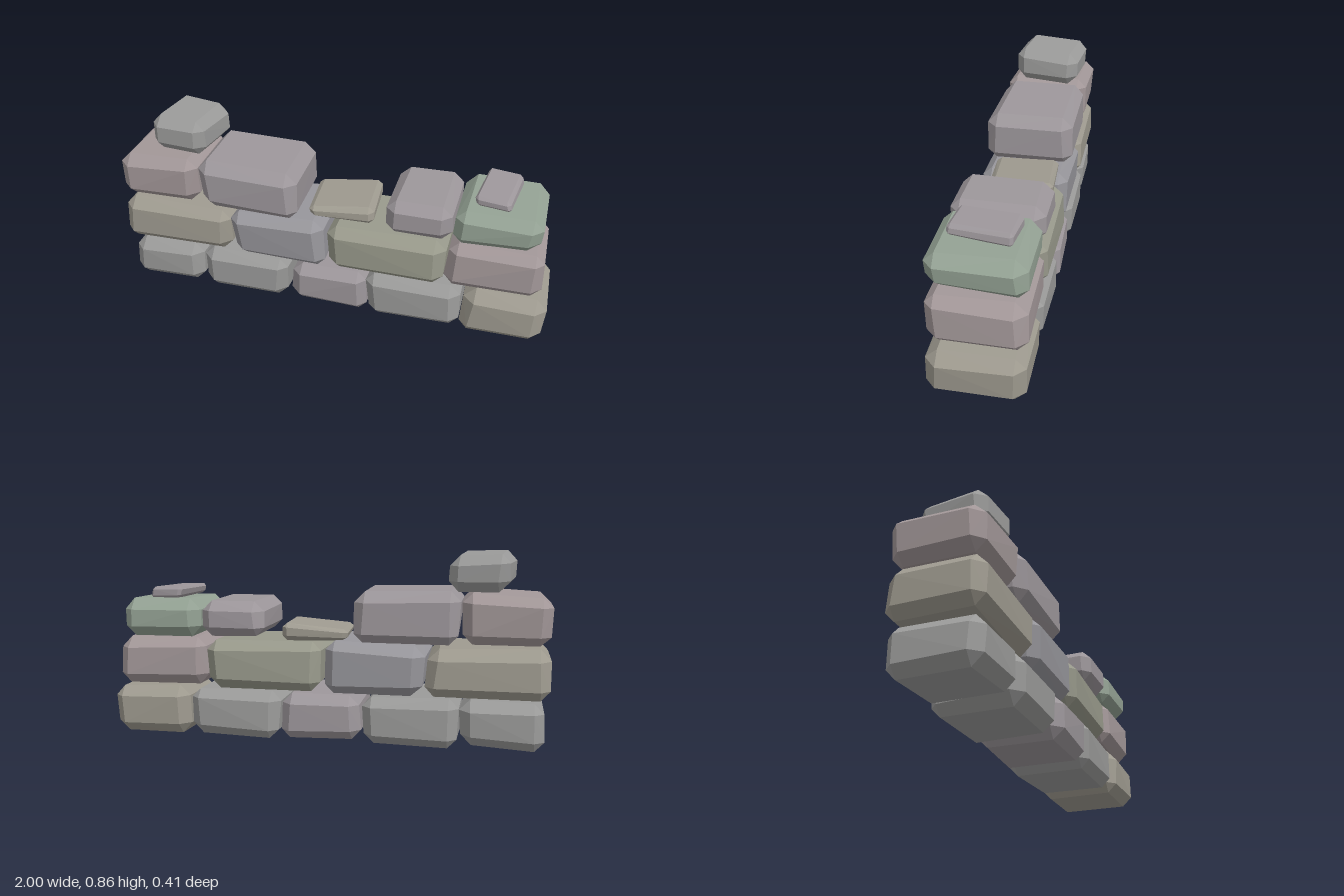
import * as THREE from 'three';
import { ConvexGeometry } from 'three/addons/geometries/ConvexGeometry.js';

const GREY = 0x9b9b9a, COOL = 0x98979c, ROSE = 0xa39899, MAUVE = 0x9d979b;
const SAND = 0x9f9b90, OLIVE = 0x999a8c, GREEN = 0x94a294;

// Each stone: front outline as [x, y] bottom left, bottom right, top right, top left
const STONES = [
  // bottom course
  { name: 'bottomStone1', color: GREY, q: [[-0.99, 0], [-0.63, 0.02], [-0.62, 0.225], [-0.97, 0.215]] },
  { name: 'bottomStone2', color: GREY, q: [[-0.61, 0], [-0.2, 0.005], [-0.19, 0.215], [-0.615, 0.225]] },
  { name: 'bottomStone3', color: MAUVE, q: [[-0.19, 0.015], [0.18, 0.01], [0.175, 0.22], [-0.17, 0.215]] },
  { name: 'bottomStone4', color: GREY, q: [[0.2, 0], [0.615, 0.005], [0.61, 0.22], [0.18, 0.225]] },
  { name: 'bottomStone5', color: SAND, q: [[0.62, 0], [0.985, 0], [1, 0.215], [0.635, 0.235]] },
  // middle course
  { name: 'middleStone1', color: SAND, q: [[-1, 0.23], [-0.46, 0.23], [-0.475, 0.44], [-1, 0.455]] },
  { name: 'middleStone2', color: COOL, q: [[-0.45, 0.225], [-0.015, 0.225], [-0.03, 0.465], [-0.47, 0.45]] },
  { name: 'middleStone3', color: OLIVE, q: [[0.005, 0.23], [0.53, 0.225], [0.535, 0.45], [-0.005, 0.455]] },
  { name: 'middleStone4', color: ROSE, q: [[0.53, 0.24], [0.97, 0.235], [0.955, 0.455], [0.55, 0.46]] },
  // upper course
  { name: 'upperStone1', color: ROSE, q: [[-0.99, 0.465], [-0.62, 0.465], [-0.62, 0.69], [-1, 0.67]] },
  { name: 'upperStone2', color: MAUVE, q: [[-0.6, 0.46], [-0.14, 0.46], [-0.145, 0.685], [-0.62, 0.695]] },
  { name: 'flatSlab', color: SAND, q: [[-0.1, 0.46], [0.19, 0.455], [0.19, 0.538], [-0.115, 0.51]], z: -0.015, d: 0.145, rot: 0.07 },
  { name: 'upperStone3', color: MAUVE, q: [[0.265, 0.475], [0.555, 0.465], [0.55, 0.63], [0.27, 0.63]] },
  { name: 'upperStone4', color: GREEN, q: [[0.56, 0.465], [0.925, 0.465], [0.94, 0.63], [0.57, 0.635]], taper: 0.07 },
  // loose stones on top
  { name: 'capChip', color: MAUVE, q: [[0.66, 0.637], [0.81, 0.633], [0.8, 0.682], [0.645, 0.69]], d: 0.135, rot: -0.12, taper: 0.12 },
  { name: 'topStone', color: GREY, q: [[-0.835, 0.695], [-0.565, 0.69], [-0.575, 0.85], [-0.835, 0.86]], z: -0.015, d: 0.158, rot: -0.1, tilt: -0.035 },
];

function seeded(seed) {
  let s = seed * 7919 + 13;
  return () => (s = (s * 16807) % 2147483647) / 2147483647 - 0.5;
}

// Chamfered block warped to eight slightly uneven corners
function makeStone({ name, color, q, z = 0, d = 0.2, rot = 0, tilt = 0, taper = 0 }, index) {
  const rand = seeded(index + 1);
  for (let i = 0; i < 5; i++) rand();
  const cx = (q[0][0] + q[1][0] + q[2][0] + q[3][0]) / 4;
  const cy = (q[0][1] + q[1][1] + q[2][1] + q[3][1]) / 4;
  const width = q[1][0] - q[0][0], height = q[2][1] - q[1][1];
  const wobble = Math.min(0.02, height * 0.08);

  const corners = [-1, 1].map((side) => q.map(([x, y]) => new THREE.Vector3(
    x - cx + rand() * wobble,
    (y - cy) * (1 - side * taper),
    side * (d + rand() * wobble))));
  const at = (u, v, w) => {
    const ends = corners.map(([bl, br, tr, tl]) => {
      const low = bl.clone().lerp(br, (u + 1) / 2);
      return low.lerp(tl.clone().lerp(tr, (u + 1) / 2), (v + 1) / 2);
    });
    return ends[0].lerp(ends[1], (w + 1) / 2);
  };

  // three points per corner: one on each adjoining face
  const points = [];
  const bevel = Math.min(0.045, height * 0.27);
  for (const u of [-1, 1]) for (const v of [-1, 1]) for (const w of [-1, 1]) {
    const b = bevel * (1 + rand() * 0.3);
    const iu = u * (1 - 2 * b / width), iv = v * (1 - 2 * b / height), iw = w * (1 - b / d);
    points.push(at(u, iv, iw), at(iu, v, iw), at(iu, iv, w));
  }
  const mesh = new THREE.Mesh(new ConvexGeometry(points),
    new THREE.MeshStandardMaterial({ color, flatShading: true }));
  mesh.name = name;
  mesh.position.set(cx, cy, z);
  mesh.rotation.set(tilt, rot, 0);
  return mesh;
}

export function createModel() {
  const wall = new THREE.Group();
  wall.name = 'brokenStoneWall';
  STONES.forEach((stone, i) => wall.add(makeStone(stone, i)));
  return wall;
}
